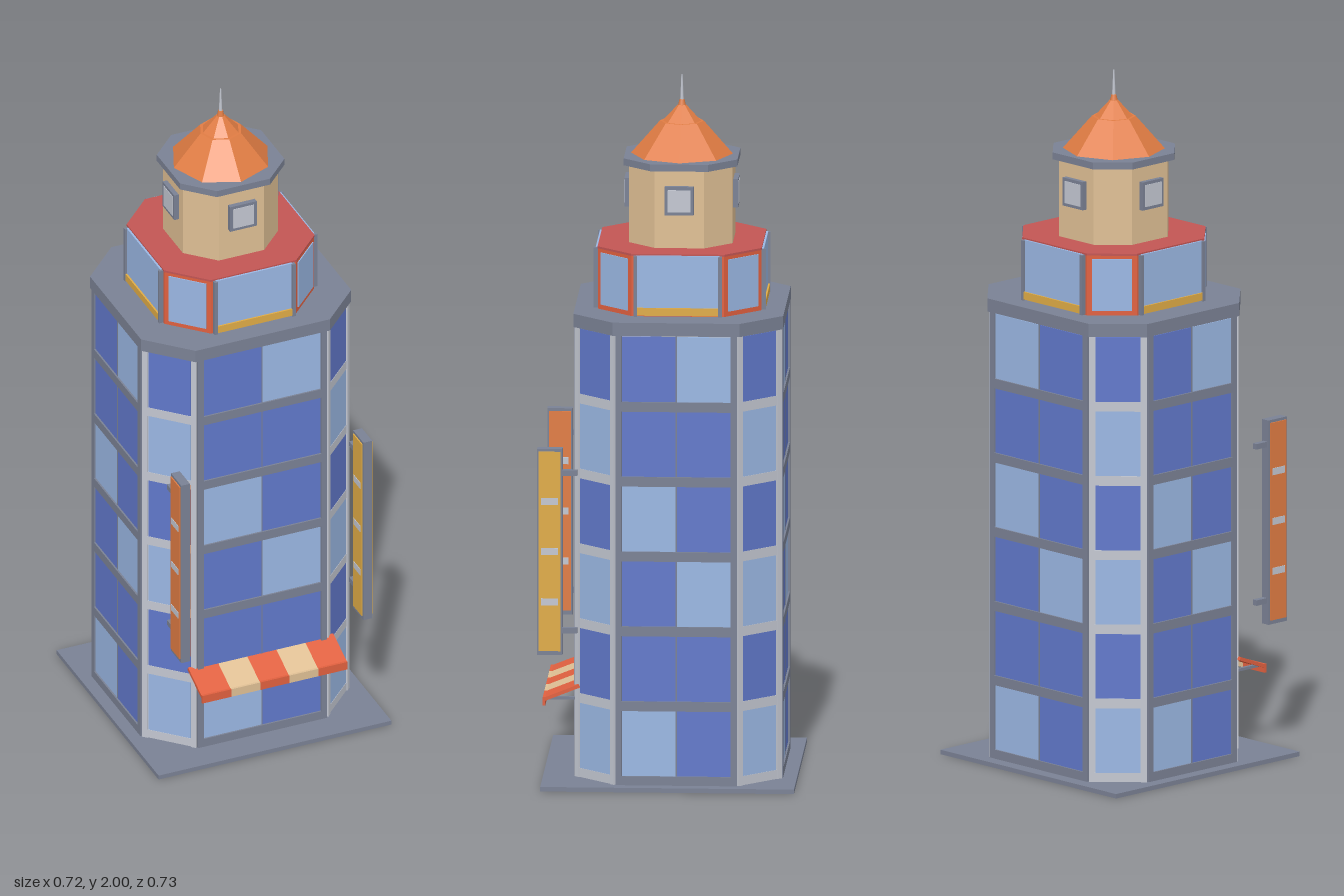
import * as THREE from 'three';

const mat = (name, color) => {
  const m = new THREE.MeshStandardMaterial({ color });
  m.name = name;
  return m;
};
const M = {
  slate: mat('slate', 0x7a8194),
  grey: mat('pale grey', 0xc3c7d1),
  light: mat('light glass', 0x9ab7e3),
  dark: mat('dark glass', 0x6178ca),
  red: mat('terrace red', 0xc25553),
  coral: mat('coral red', 0xe0603f),
  orange: mat('roof orange', 0xe07c43),
  tan: mat('tan', 0xdfbf94),
  yellow: mat('yellow', 0xdfab46),
};
const CZ = -0.032; // tower axis

function add(parent, name, geo, material, x = 0, y = 0, z = 0) {
  const m = new THREE.Mesh(geo, material);
  m.name = name;
  m.position.set(x, y, z);
  parent.add(m);
  return m;
}
const box = (parent, name, material, w, h, d, x, y, z) =>
  add(parent, name, new THREE.BoxGeometry(w, h, d), material, x, y, z);

// Upright prism on a rectangle with cut corners
function prism(parent, name, material, hx, hz, cut, y0, y1) {
  const pts = [[hx, hz - cut], [hx - cut, hz], [cut - hx, hz], [-hx, hz - cut],
    [-hx, cut - hz], [cut - hx, -hz], [hx - cut, -hz], [hx, cut - hz]];
  const shape = new THREE.Shape(pts.map(([x, z]) => new THREE.Vector2(x, z)));
  const geo = new THREE.ExtrudeGeometry(shape, { depth: y1 - y0, bevelEnabled: false });
  geo.rotateX(-Math.PI / 2);
  return add(parent, name, geo, material, 0, y0, 0);
}

// Calls build(group, width, index) per wall; local +z points outward, even index = main wall
function eachWall(parent, name, hx, hz, cut, build) {
  for (let i = 0; i < 8; i++) {
    const g = new THREE.Group();
    const a = (i * Math.PI) / 4;
    const sx = Math.round(Math.sin(a)), sz = Math.round(Math.cos(a));
    const inset = i % 2 ? cut / 2 : 0;
    g.name = name;
    g.position.set(sx * (hx - inset), 0, sz * (hz - inset));
    g.rotation.y = a;
    parent.add(g);
    const width = i % 2 ? cut * Math.SQRT2 : 2 * ((i % 4 ? hz : hx) - cut);
    build(g, width, i);
  }
}

function buildShaft(root) {
  const g = new THREE.Group();
  g.name = 'officeShaft';
  root.add(g);
  const hx = 0.315, hz = 0.288, cut = 0.116, pitch = 0.216;
  prism(g, 'shaftCore', M.grey, hx, hz, cut, 0.01, 1.312);
  prism(g, 'shaftCornice', M.slate, 0.324, 0.297, 0.117, 1.31, 1.348);
  const pattern = ['10', '00', '01', '10', '00', '01']; // 1 = light pane
  eachWall(g, 'curtainWall', hx, hz, cut, (wall, w, i) => {
    const main = i % 2 === 0;
    for (let r = 0; r < 6; r++) {
      const y = 0.133 + r * pitch;
      if (main) {
        const lit = i === 4 && r === 5 ? '10' : pattern[r];
        const pw = w / 2 - 0.02;
        for (const c of [0, 1]) {
          box(wall, 'windowPane', lit[c] === '1' ? M.light : M.dark,
            pw, 0.188, 0.004, (c - 0.5) * (pw + 0.003), y, 0.001);
        }
      } else {
        box(wall, 'cornerPane', r % 2 ? M.dark : M.light, w - 0.036, 0.188, 0.004, 0, y, 0.001);
      }
      // floor beams
      if (main) box(wall, 'floorBeam', M.slate, w, 0.028, 0.012, 0, y - 0.108, 0.002);
      else box(wall, 'floorBand', M.grey, w, 0.028, 0.006, 0, y - 0.108, 0.001);
    }
    // upright posts at wall edges, mullion between panes
    for (const s of [-1, 1]) {
      if (main) box(wall, 'wallPost', M.slate, 0.018, 1.3, 0.012, s * (w / 2 - 0.009), 0.66, 0.002);
      else box(wall, 'cornerPost', M.grey, 0.016, 1.3, 0.012, s * (w / 2 - 0.008), 0.66, 0.001);
    }
    if (main) box(wall, 'mullion', M.slate, 0.004, 1.3, 0.006, 0, 0.66, 0.001);
  });
}

function buildTerrace(root) {
  const g = new THREE.Group();
  g.name = 'terraceLevel';
  root.add(g);
  const h = 0.231, cut = 0.1;
  prism(g, 'terraceWalls', M.coral, h, h, cut, 1.348, 1.522);
  prism(g, 'terraceRoof', M.red, h + 0.001, h + 0.001, cut, 1.522, 1.528);
  eachWall(g, 'terraceWall', h, h, cut, (wall, w, i) => {
    if (i % 2) {
      box(wall, 'cornerGlass', M.light, w - 0.028, 0.15, 0.004, 0, 1.437, 0.001);
      return;
    }
    box(wall, 'terraceGlass', M.light, 0.236, 0.15, 0.008, 0, 1.449, 0.003);
    box(wall, 'yellowSill', M.yellow, 0.236, 0.022, 0.014, 0, 1.363, 0.005);
    for (const s of [-1, 1]) box(wall, 'glassPost', M.slate, 0.01, 0.174, 0.014, s * 0.12, 1.436, 0.006);
  });
}

function buildLantern(root) {
  const g = new THREE.Group();
  g.name = 'lantern';
  root.add(g);
  const h = 0.147, cut = 0.077;
  prism(g, 'lanternWalls', M.tan, h, h, cut, 1.526, 1.755);
  prism(g, 'eave', M.slate, 0.161, 0.161, 0.079, 1.752, 1.772);
  eachWall(g, 'lanternWall', h, h, cut, (wall, w, i) => {
    if (i % 2) return;
    box(wall, 'windowFrame', M.slate, 0.082, 0.082, 0.024, 0, 1.666, 0.002);
    box(wall, 'lanternWindow', M.grey, 0.064, 0.064, 0.004, 0, 1.666, 0.0135);
  });
  // faceted roof with a stepped tip
  const profile = [[0.145, 1.771], [0.062, 1.866], [0.054, 1.866], [0.012, 1.912], [0, 1.912]];
  const roof = new THREE.LatheGeometry(profile.map(([r, y]) => new THREE.Vector2(r, y)), 8).toNonIndexed();
  roof.computeVertexNormals();
  add(g, 'domeRoof', roof, M.orange);
  add(g, 'spireFoot', new THREE.CylinderGeometry(0.007, 0.012, 0.02, 8), M.orange, 0, 1.918, 0);
  add(g, 'spire', new THREE.CylinderGeometry(0.002, 0.006, 0.09, 8), M.grey, 0, 1.955, 0);
}

// Hanging blade sign on two brackets
function buildSign(root, side, color) {
  const g = new THREE.Group();
  g.name = side > 0 ? 'leftSign' : 'rightSign';
  g.position.x = side * 0.281;
  root.add(g);
  box(g, 'signCase', M.slate, 0.027, 0.595, 0.072, 0, 0.678, 0.327);
  for (const s of [-1, 1]) {
    box(g, 'signPanel', color, 0.005, 0.575, 0.062, s * 0.0145, 0.68, 0.327);
    for (const y of [0.535, 0.68, 0.825]) {
      box(g, 'signStripe', M.grey, 0.002, 0.02, 0.048, s * 0.0175, y, 0.327);
    }
  }
  for (const y of [0.45, 0.905]) box(g, 'signBracket', M.slate, 0.016, 0.016, 0.05, 0, y, 0.275);
}

// Striped canopy with a hanging front edge
function buildAwning(root) {
  const g = new THREE.Group();
  g.name = 'awning';
  root.add(g);
  const w = 0.0896;
  for (let i = 0; i < 5; i++) {
    const color = i % 2 ? M.tan : M.coral;
    const x = (i - 2) * w;
    const slope = box(g, 'awningStripe', color, w, 0.01, 0.108, x, 0.257, 0.298);
    slope.rotation.x = 0.38;
    box(g, 'awningValance', color, w, 0.025, 0.007, x, 0.232, 0.347);
  }
  for (const s of [-1, 1]) box(g, 'awningArm', M.slate, 0.01, 0.008, 0.09, s * 0.2, 0.238, 0.3);
}

export function createModel() {
  const model = new THREE.Group();
  model.name = 'tower';
  box(model, 'basePlate', M.slate, 0.718, 0.013, 0.718, 0, 0.0065, -0.008);
  const tower = new THREE.Group();
  tower.name = 'towerBody';
  tower.position.z = CZ;
  model.add(tower);
  buildShaft(tower);
  buildTerrace(tower);
  buildLantern(tower);
  buildSign(model, 1, M.yellow);
  buildSign(model, -1, M.orange);
  buildAwning(model);
  return model;
}
